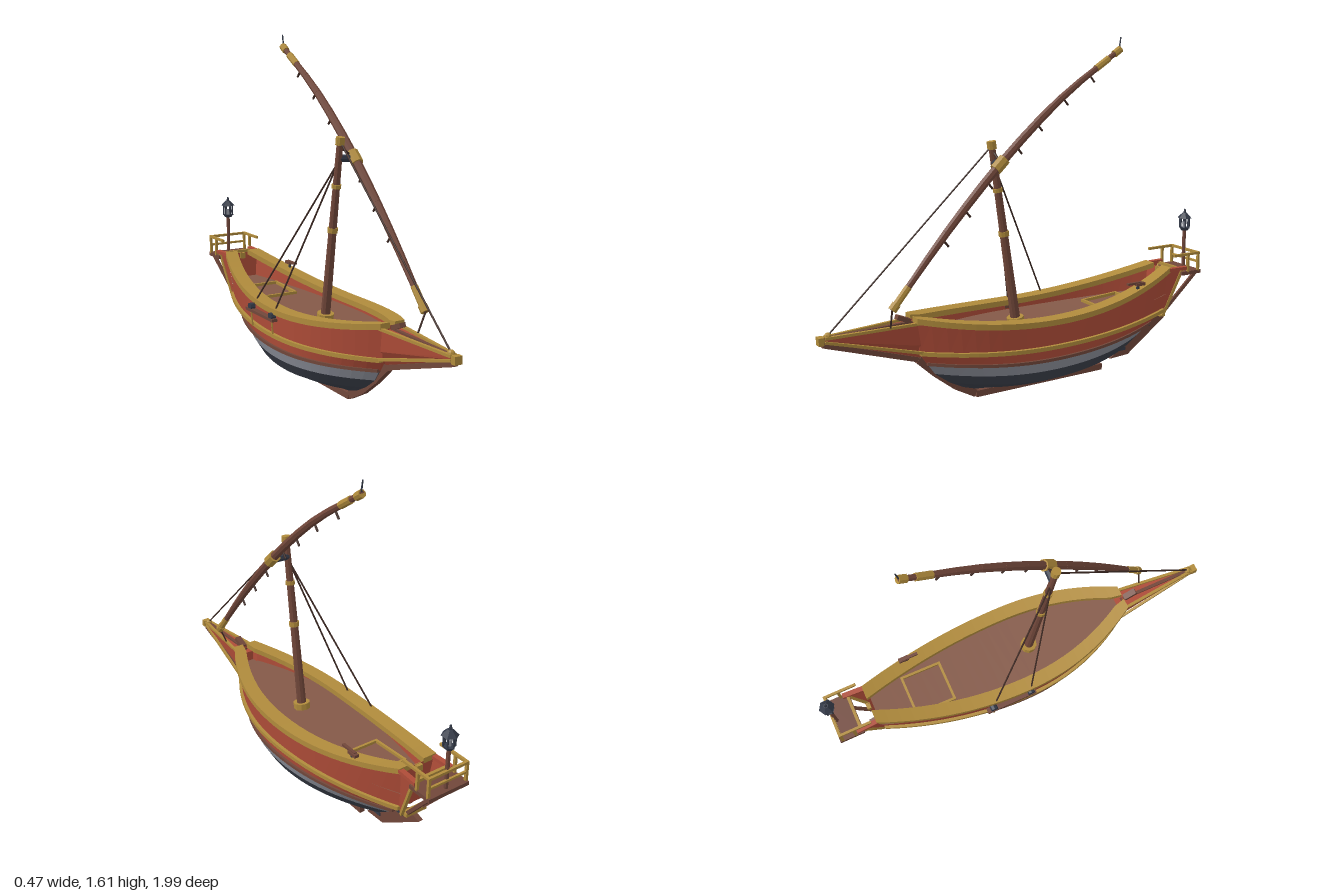
import * as THREE from 'three';

const mat = (name, color) => {
  const m = new THREE.MeshStandardMaterial({ color, flatShading: true, side: THREE.DoubleSide });
  m.name = name;
  return m;
};

export function createModel() {
  const red = mat('redPaint', 0xae4c38), gold = mat('goldTrim', 0xb08b3c), deckWood = mat('deckWood', 0x845948);
  const wood = mat('timber', 0x71473a), rope = mat('rope', 0x3f2b25);
  const pale = mat('paleGrey', 0x888b95), dark = mat('darkGrey', 0x3b404b), iron = mat('iron', 0x343a48);
  const ship = new THREE.Group();
  ship.name = 'sailingBoat';
  const V = (x, y, z) => new THREE.Vector3(x, y, z);
  const add = (geo, m, name, parent = ship) => {
    const mesh = new THREE.Mesh(geo, m);
    mesh.name = name;
    parent.add(mesh);
    return mesh;
  };
  const box = (w, h, d, x, y, z, m, name) => add(new THREE.BoxGeometry(w, h, d), m, name).position.set(x, y, z);
  // round bar between two points
  const rod = (a, b, r1, r2, m, name, sides = 8) => {
    const d = b.clone().sub(a);
    const mesh = add(new THREE.CylinderGeometry(r2, r1, d.length(), sides), m, name);
    mesh.position.copy(a).add(b).multiplyScalar(0.5);
    mesh.quaternion.setFromUnitVectors(V(0, 1, 0), d.normalize());
  };
  // square bar between two points
  const beam = (a, b, w, h, m, name) => {
    const mesh = add(new THREE.BoxGeometry(w, h, a.distanceTo(b)), m, name);
    mesh.position.copy(a).add(b).multiplyScalar(0.5);
    mesh.lookAt(b);
  };
  // surface through a list of cross-sections
  const loft = (sections, m, name) => {
    const p = [];
    for (let i = 0; i + 1 < sections.length; i++) {
      const a = sections[i], b = sections[i + 1];
      for (let j = 0; j + 1 < a.length; j++)
        for (const v of [a[j], b[j], b[j + 1], a[j], b[j + 1], a[j + 1]]) p.push(v.x, v.y, v.z);
    }
    const g = new THREE.BufferGeometry();
    g.setAttribute('position', new THREE.Float32BufferAttribute(p, 3));
    g.computeVertexNormals();
    return add(g, m, name);
  };

  // ---- hull: each line runs stern to bow along one side
  const N = 24, MID = -0.05;
  const sheer = z => 0.375 + (z < MID ? 0.11 * ((z - MID) / 0.73) ** 2 : 0.055 * ((z - MID) / 0.62) ** 2);
  const line = (W, ws, wb, zs, zb, y) => Array.from({ length: N + 1 }, (_, i) => {
    const z = zs + (zb - zs) * i / N;
    const s = z < MID ? (MID - z) / (MID - zs) : (z - MID) / (zb - MID);
    const e = z < MID ? ws : wb;
    return V(e + (W - e) * (1 - s ** (z < MID ? 2 : 2.2)), typeof y === 'function' ? y(z) : y + 0.02 * s * s, z);
  });
  const L = [
    line(0.216, 0.085, 0.048, -0.79, 0.57, z => sheer(z) - 0.012),
    line(0.212, 0.065, 0.035, -0.77, 0.55, 0.247),
    line(0.207, 0.045, 0.02, -0.71, 0.51, 0.188),
    line(0.196, 0.03, 0.015, -0.65, 0.47, 0.132),
    line(0.165, 0.02, 0.012, -0.58, 0.40, 0.078),
    line(0.09, 0.012, 0.012, -0.51, 0.33, 0.042),
    line(0.01, 0.01, 0.01, -0.45, 0.27, 0.022),
  ];
  const mirror = pts => pts.map(v => V(-v.x, v.y, v.z));
  const bands = [['upperSide', red, [0, 1, 2]], ['paleBand', pale, [2, 3]], ['bottom', dark, [3, 4, 5, 6]]];
  for (const [name, m, ids] of bands) {
    loft(ids.map(i => L[i]), m, name + 'Left');
    loft(ids.map(i => mirror(L[i])), m, name + 'Right');
  }
  // end caps between the two sides
  for (const [i, name] of [[0, 'transom'], [N, 'bowFace']]) {
    const cap = (ids, m, n) => loft(ids.map(j => [L[j][i], mirror([L[j][i]])[0]]), m, n);
    cap([0, 1, 2], red, name + 'Upper');
    cap([2, 3, 4, 5, 6], dark, name + 'Lower');
  }
  // rectangular strakes following a hull line
  const strake = (pts, inn, out, h, m, name) => {
    const sec = pts.map(v => {
      const a = Math.max(0.012, v.x - inn), b = v.x + out;
      return [V(a, v.y - h / 2, v.z), V(b, v.y - h / 2, v.z), V(b, v.y + h / 2, v.z), V(a, v.y + h / 2, v.z), V(a, v.y - h / 2, v.z)];
    });
    for (const [s, side] of [[sec, 'Left'], [sec.map(mirror), 'Right']]) {
      loft(s, m, name + side);
      for (const e of [s[0], s[N]]) loft([[e[0], e[1]], [e[3], e[2]]], m, name + side + 'End');
    }
  };
  strake(L[0], 0.055, 0.013, 0.026, gold, 'gunwale');
  strake(L[1], 0.005, 0.016, 0.018, gold, 'wale');
  strake(L[2], 0.005, 0.012, 0.014, wood, 'lowerWale');

  // ---- deck and hatch
  const deckY = z => 0.316 + 0.3 * (sheer(z) - 0.375);
  const deckEdge = line(0.208, 0.075, 0.038, -0.785, 0.562, deckY);
  loft([deckEdge, mirror(deckEdge)], deckWood, 'deck');
  for (const s of [-1, 1]) {
    beam(V(s * 0.1, deckY(-0.4) + 0.006, -0.4), V(s * 0.1, deckY(-0.6) + 0.006, -0.6), 0.012, 0.014, gold, 'hatchSide');
    const z = -0.5 + s * 0.1;
    box(0.212, 0.014, 0.012, 0, deckY(z) + 0.006, z, gold, 'hatchEnd');
  }

  // ---- keel and curved stem
  box(0.026, 0.03, 0.7, 0, 0.015, -0.09, wood, 'keel');
  const stem = [V(0, 0.23, 0.545), V(0, 0.15, 0.46), V(0, 0.075, 0.365), V(0, 0.02, 0.265)];
  for (let i = 0; i < 3; i++) beam(stem[i], stem[i + 1], 0.028, 0.034, wood, 'stem');

  // ---- pointed beak
  const beakSec = (w, top, mid, low, z) => [V(0, top, z), V(w, top, z), V(w * 0.85, mid, z), V(0, low, z), V(-w * 0.85, mid, z), V(-w, top, z), V(0, top, z)];
  loft([beakSec(0.052, 0.4, 0.3, 0.225, 0.53), beakSec(0.01, 0.392, 0.382, 0.37, 0.96)], red, 'beak');
  for (const s of [-1, 1]) {
    beam(V(s * 0.052, 0.405, 0.55), V(s * 0.01, 0.395, 0.96), 0.014, 0.012, gold, 'beakTopRail');
    beam(V(s * 0.048, 0.27, 0.54), V(s * 0.01, 0.378, 0.96), 0.012, 0.012, gold, 'beakLowerRail');
  }
  beam(V(0, 0.215, 0.5), V(0, 0.368, 0.97), 0.024, 0.022, wood, 'beakTimber');
  beam(V(0, 0.402, 0.56), V(0, 0.393, 0.96), 0.016, 0.012, wood, 'beakSpine');
  box(0.036, 0.034, 0.024, 0, 0.385, 0.978, gold, 'beakTip');
  add(new THREE.SphereGeometry(0.017, 8, 6), gold, 'beakKnob').position.set(0, 0.4, 0.945);
  beam(V(0, 0.41, 0.58), V(0, 0.435, 0.64), 0.03, 0.02, wood, 'bowBlock');

  // ---- stern gallery
  for (const s of [-1, 1]) {
    loft([[V(s * 0.086, 0.47, -0.785), V(s * 0.09, 0.47, -0.87)], [V(s * 0.066, 0.25, -0.765), V(s * 0.066, 0.25, -0.775)]], red, 'sternWing');
    beam(V(s * 0.092, 0.48, -0.875), V(s * 0.062, 0.235, -0.775), 0.014, 0.014, gold, 'sternEdge');
    beam(V(s * 0.088, 0.475, -0.78), V(s * 0.094, 0.475, -0.89), 0.024, 0.016, red, 'wingCap');
    beam(V(s * 0.085, 0.44, -0.96), V(s * 0.04, 0.235, -0.785), 0.014, 0.016, wood, 'galleryBrace');
    beam(V(s * 0.1, 0.545, -0.81), V(s * 0.1, 0.545, -0.972), 0.012, 0.012, gold, 'sideRail');
    for (const z of [-0.9, -0.966]) box(0.012, 0.095, 0.012, s * 0.1, 0.5, z, gold, 'railPost');
  }
  box(0.212, 0.012, 0.012, 0, 0.545, -0.966, gold, 'backRail');
  box(0.212, 0.01, 0.01, 0, 0.5, -0.966, gold, 'backRailLow');
  box(0.212, 0.018, 0.12, 0, 0.449, -0.92, wood, 'galleryFloor');
  box(0.2, 0.014, 0.014, 0, 0.468, -0.868, gold, 'galleryBeam');
  box(0.03, 0.03, 0.02, 0, 0.46, -0.795, gold, 'sternPostHead');
  box(0.11, 0.018, 0.03, 0, 0.237, -0.785, gold, 'transomSill');

  // ---- lantern
  rod(V(0, 0.45, -0.958), V(0, 0.648, -0.958), 0.009, 0.009, wood, 'lanternPost');
  const lamp = new THREE.Group();
  lamp.name = 'lantern';
  lamp.position.set(0, 0.645, -0.958);
  ship.add(lamp);
  const tier = (r1, r2, h, y) => add(new THREE.CylinderGeometry(r2, r1, h, 6), iron, 'lanternTier', lamp).position.set(0, y, 0);
  tier(0.018, 0.027, 0.014, 0.007);
  tier(0.037, 0.012, 0.026, 0.076);
  tier(0.008, 0.004, 0.022, 0.098);
  for (let i = 0; i < 6; i++) {
    const a = i * Math.PI / 3;
    add(new THREE.BoxGeometry(0.006, 0.055, 0.006), iron, 'lanternBar', lamp).position.set(0.024 * Math.sin(a), 0.038, 0.024 * Math.cos(a));
  }
  add(new THREE.CylinderGeometry(0.009, 0.009, 0.03, 6), pale, 'lanternCandle', lamp).position.set(0, 0.028, 0);

  // ---- rudder: shape drawn with x standing for -z
  const blade = new THREE.Shape([[0.49, 0.045], [0.6, 0.05], [0.83, 0.208], [0.76, 0.23]].map(p => new THREE.Vector2(...p)));
  const rudder = add(new THREE.ExtrudeGeometry(blade, { depth: 0.024, bevelEnabled: false }), wood, 'rudder');
  rudder.rotation.y = Math.PI / 2;
  rudder.position.x = -0.012;
  for (const [y, z] of [[0.085, -0.56], [0.185, -0.71]]) box(0.034, 0.016, 0.045, 0, y, z, iron, 'rudderHinge');

  // ---- mast
  const foot = V(0, 0.31, 0.045), head = V(0, 1.14, 0.168);
  const mastAt = y => foot.clone().lerp(head, (y - foot.y) / (head.y - foot.y));
  rod(foot, head, 0.023, 0.015, wood, 'mast', 10);
  for (const [y0, y1, r] of [[0.315, 0.345, 0.04], [0.73, 0.752, 0.024], [0.932, 0.95, 0.022], [1.125, 1.16, 0.021]])
    rod(mastAt(y0), mastAt(y1), r, r, gold, 'mastCollar', 10);

  // ---- curved yard
  const yard = new THREE.CatmullRomCurve3([[0.49, 0.69], [0.8, 0.425], [1.075, 0.16], [1.34, -0.145], [1.555, -0.47]].map(p => V(0.075, ...p)));
  const yr = t => 0.012 + 0.008 * Math.sin(Math.PI * t);
  for (let i = 0; i < 12; i++) rod(yard.getPointAt(i / 12), yard.getPointAt((i + 1) / 12), yr(i / 12), yr((i + 1) / 12), wood, 'yard');
  for (const [a, b, r] of [[0, 0.02, 0.02], [0.02, 0.075, 0.016], [0.47, 0.51, 0.028], [0.9, 0.95, 0.017], [0.975, 1, 0.018]])
    rod(yard.getPointAt(a), yard.getPointAt(b), r, r, gold, 'yardSleeve');
  for (const t of [0.23, 0.33, 0.43, 0.56, 0.65, 0.76, 0.87]) {
    const p = yard.getPointAt(t);
    rod(p, p.clone().add(V(0, -0.036, -0.03)), 0.005, 0.005, rope, 'yardPeg', 6);
  }
  rod(V(0.075, 1.55, -0.463), V(0.075, 1.61, -0.472), 0.004, 0.003, iron, 'yardSpike', 6);
  rod(V(0, 1.065, 0.156), V(0.07, 1.065, 0.16), 0.017, 0.017, iron, 'yardCoupling');
  rod(V(0.012, 1.11, 0.163), V(0.07, 1.07, 0.16), 0.005, 0.005, rope, 'yardSling', 6);

  // ---- rigging
  rod(V(0, 0.4, 0.95), V(0, 1.14, 0.168), 0.004, 0.004, rope, 'forestay', 6);
  rod(V(0.075, 0.49, 0.69), V(0.04, 0.4, 0.685), 0.004, 0.004, rope, 'yardTack', 6);
  box(0.028, 0.014, 0.26, -0.228, 0.325, -0.15, wood, 'shroudBoard');
  for (const z of [-0.045, -0.245]) {
    rod(V(-0.224, 0.34, z), V(0, 1.05, 0.154), 0.004, 0.004, rope, 'shroud', 6);
    rod(V(-0.24, 0.34, z), V(-0.216, 0.34, z), 0.018, 0.018, iron, 'shroudBlock');
    rod(V(-0.23, 0.32, z), V(-0.224, 0.245, z), 0.004, 0.004, gold, 'shroudStrap', 6);
  }

  // ---- gunwale cleat
  box(0.014, 0.01, 0.085, 0.15, 0.456, -0.525, wood, 'cleatBar');
  box(0.022, 0.014, 0.05, 0.152, 0.45, -0.555, wood, 'cleatBlock');
  box(0.01, 0.04, 0.012, 0.15, 0.435, -0.545, iron, 'cleatPost');
  return ship;
}
